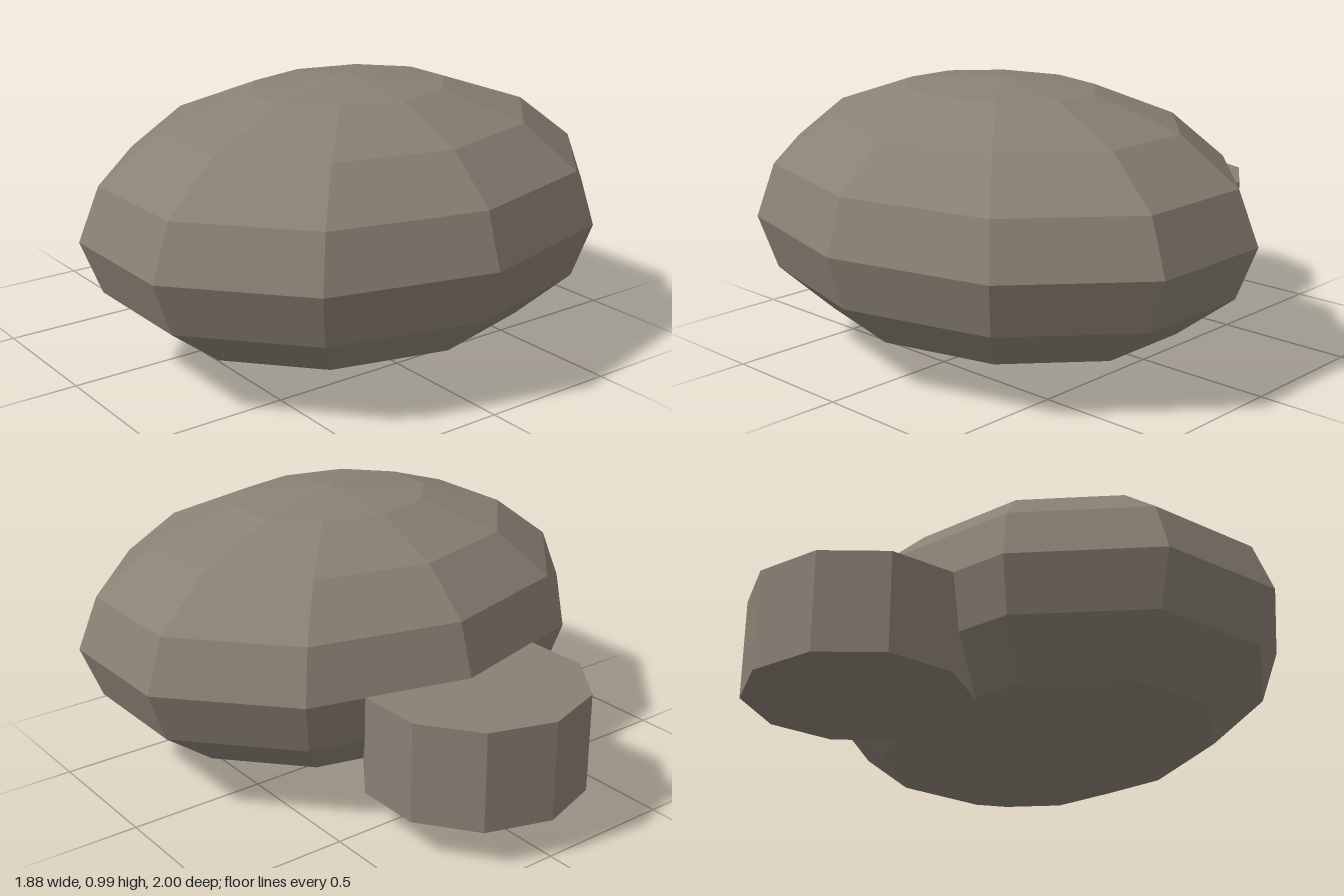
import * as THREE from 'three';

export function createModel() {
  const group = new THREE.Group();
  group.name = 'rocks';
  const stone = new THREE.MeshStandardMaterial({ color: 0x8a8074, flatShading: true });

  // Large boulder: a ten-sided, eight-ring ball squashed into an ellipsoid, with a corner facing front
  const boulder = new THREE.Mesh(new THREE.SphereGeometry(1, 10, 8, Math.PI / 2), stone);
  boulder.name = 'boulder';
  boulder.scale.set(0.99, 0.495, 0.792);
  boulder.position.set(0, 0.495, 0.207);
  group.add(boulder);

  // Small flat-topped stone sunk into the back of the boulder
  const sideStone = new THREE.Mesh(new THREE.CylinderGeometry(0.396, 0.396, 0.36, 10), stone);
  sideStone.name = 'sideStone';
  sideStone.position.set(0, 0.317, -0.604);
  group.add(sideStone);

  return group;
}
